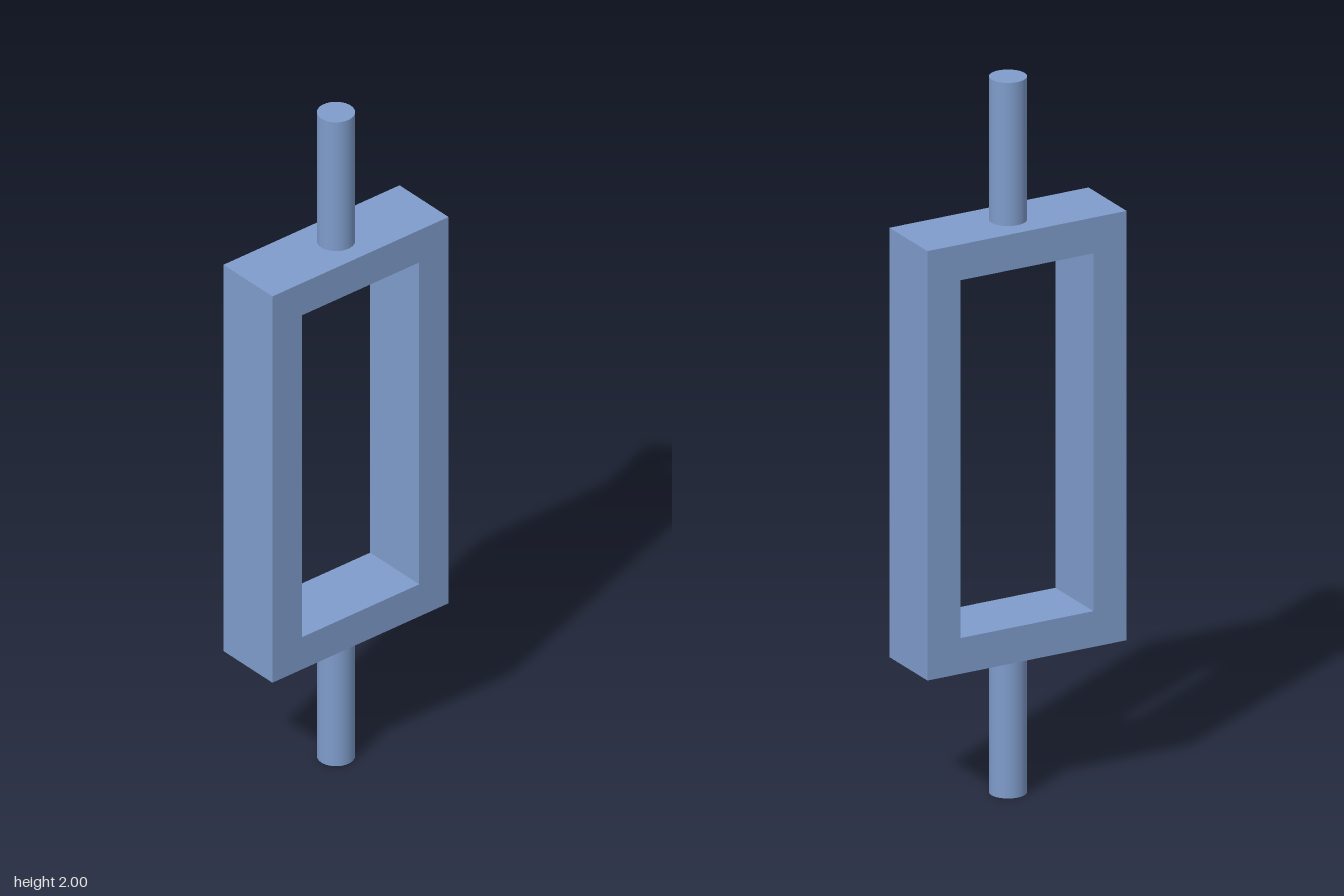
import * as THREE from 'three';

const WIDTH = 0.6, HEIGHT = 1.2, DEPTH = 0.2, WALL = 0.1;
const ROD_RADIUS = 0.05, ROD_LENGTH = 0.4;

// Adds the corners of a rectangle centred on the origin to a shape or path
function rectangle(path, w, h) {
  path.moveTo(-w / 2, -h / 2);
  path.lineTo(w / 2, -h / 2);
  path.lineTo(w / 2, h / 2);
  path.lineTo(-w / 2, h / 2);
  path.closePath();
  return path;
}

export function createModel() {
  const model = new THREE.Group();
  model.name = 'rodFrame';
  const material = new THREE.MeshStandardMaterial({ color: 0x7f9ccb });

  // Rectangular frame with an open window
  const outline = rectangle(new THREE.Shape(), WIDTH, HEIGHT);
  outline.holes.push(rectangle(new THREE.Path(), WIDTH - 2 * WALL, HEIGHT - 2 * WALL));
  const frameGeometry = new THREE.ExtrudeGeometry(outline, { depth: DEPTH, bevelEnabled: false });
  frameGeometry.translate(0, 0, -DEPTH / 2);
  const frame = new THREE.Mesh(frameGeometry, material);
  frame.name = 'frame';
  frame.position.y = 1;
  model.add(frame);

  // Round rods above and below the frame
  const rodGeometry = new THREE.CylinderGeometry(ROD_RADIUS, ROD_RADIUS, ROD_LENGTH, 48);
  for (const [name, side] of [['topRod', 1], ['bottomRod', -1]]) {
    const rod = new THREE.Mesh(rodGeometry, material);
    rod.name = name;
    rod.position.y = 1 + side * (HEIGHT + ROD_LENGTH) / 2;
    model.add(rod);
  }

  return model;
}
